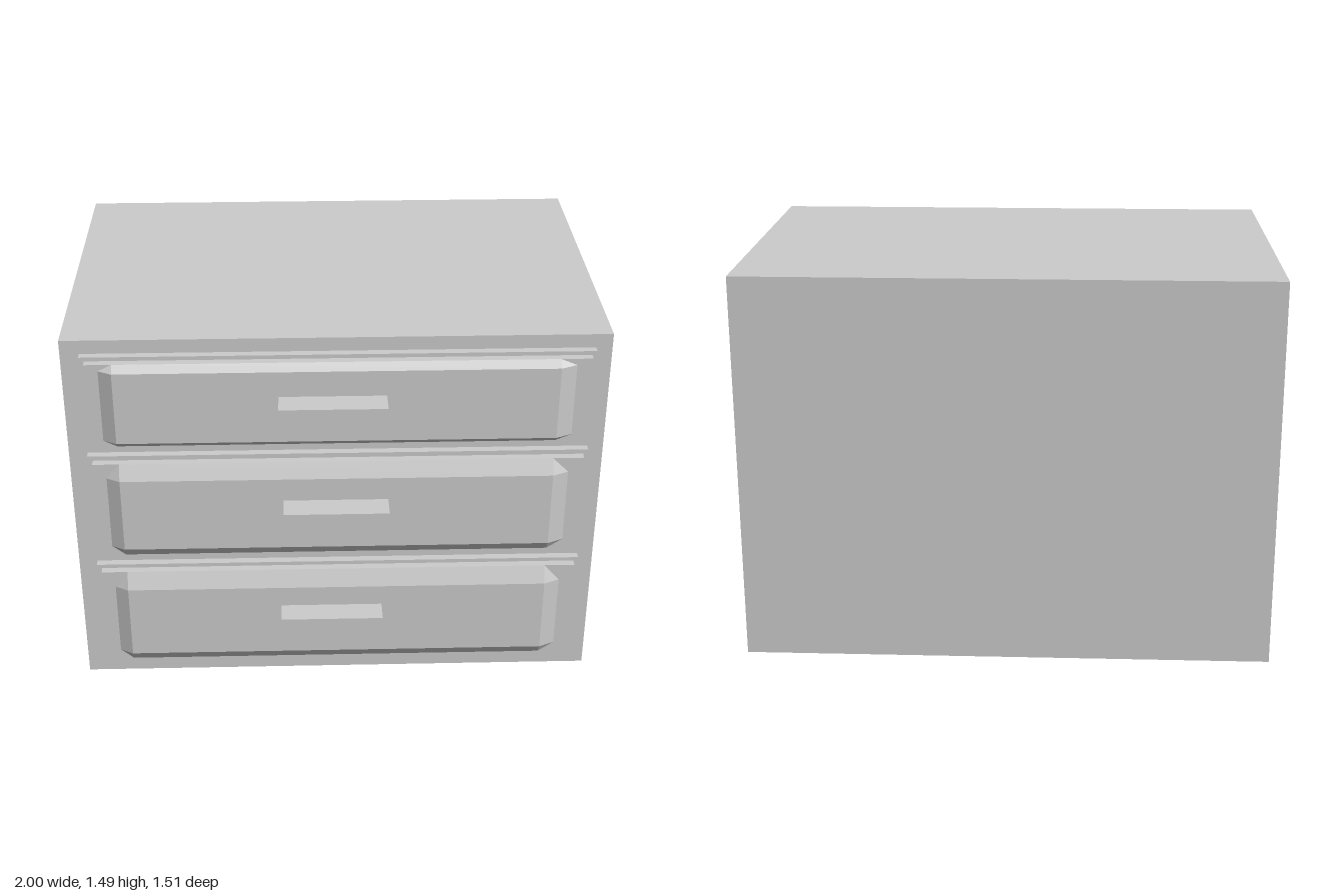
import * as THREE from 'three';
import { ConvexGeometry } from 'three/addons/geometries/ConvexGeometry.js';

const material = new THREE.MeshStandardMaterial({ color: 0xcccccc, flatShading: true });

function part(name, geometry) {
  const mesh = new THREE.Mesh(geometry, material);
  mesh.name = name;
  return mesh;
}

// Box given by its lower and upper limits
function block(name, [x0, y0, z0], [x1, y1, z1]) {
  const geometry = new THREE.BoxGeometry(x1 - x0, y1 - y0, z1 - z0);
  geometry.translate((x0 + x1) / 2, (y0 + y1) / 2, (z0 + z1) / 2);
  return part(name, geometry);
}

// Raised panel: sloping edges with cut corners around a flat face
function raisedPanel(y0, y1, in0, in1) {
  const back = 0.63, front = 0.657;
  const points = [];
  for (const [outer, inner] of [[-0.86, -0.81], [0.865, 0.805]]) {
    for (const [outerY, innerY] of [[y0, in0], [y1, in1]]) {
      points.push(
        new THREE.Vector3(outer, innerY, back),
        new THREE.Vector3(inner, outerY, back),
        new THREE.Vector3(inner, innerY, front)
      );
    }
  }
  return part('raisedPanel', new ConvexGeometry(points));
}

// Pull with a downturned lip, an L profile drawn out along x
function handle(x0, x1, top, zEnd) {
  const profile = new THREE.Shape([
    [0.65, top], [0.65, top - 0.032], [zEnd - 0.03, top - 0.032],
    [zEnd - 0.03, top - 0.047], [zEnd, top - 0.047], [zEnd, top]
  ].map(([z, y]) => new THREE.Vector2(z, y)));
  const geometry = new THREE.ExtrudeGeometry(profile, { depth: x1 - x0, bevelEnabled: false });
  geometry.rotateY(-Math.PI / 2).translate(x1, 0, 0);
  return part('handle', geometry);
}

export function createModel() {
  const model = new THREE.Group();
  model.name = 'chestOfDrawers';
  model.add(block('cabinet', [-1, 0, -0.757], [1, 1.485, 0.57]));

  // Drawers from top to bottom
  const drawers = [
    { name: 'topDrawer', rim: [1.06, 1.432], step: [1.08, 1.417], face: [1.105, 1.392], pull: [-0.215, 0.178, 1.292, 0.757] },
    { name: 'middleDrawer', rim: [0.58, 1.02], step: [0.6, 1.002], face: [0.64, 0.942], pull: [-0.203, 0.19, 0.85, 0.757] },
    { name: 'bottomDrawer', rim: [0.082, 0.533], step: [0.102, 0.518], face: [0.145, 0.45], pull: [-0.218, 0.172, 0.367, 0.75] }
  ];
  for (const { name, rim, step, face, pull } of drawers) {
    const drawer = new THREE.Group();
    drawer.name = name;
    drawer.add(
      block('drawerRim', [-0.93, rim[0], 0.56], [0.94, rim[1], 0.6]),
      block('drawerStep', [-0.91, step[0], 0.59], [0.922, step[1], 0.63]),
      raisedPanel(...step, ...face),
      handle(...pull)
    );
    model.add(drawer);
  }
  return model;
}
